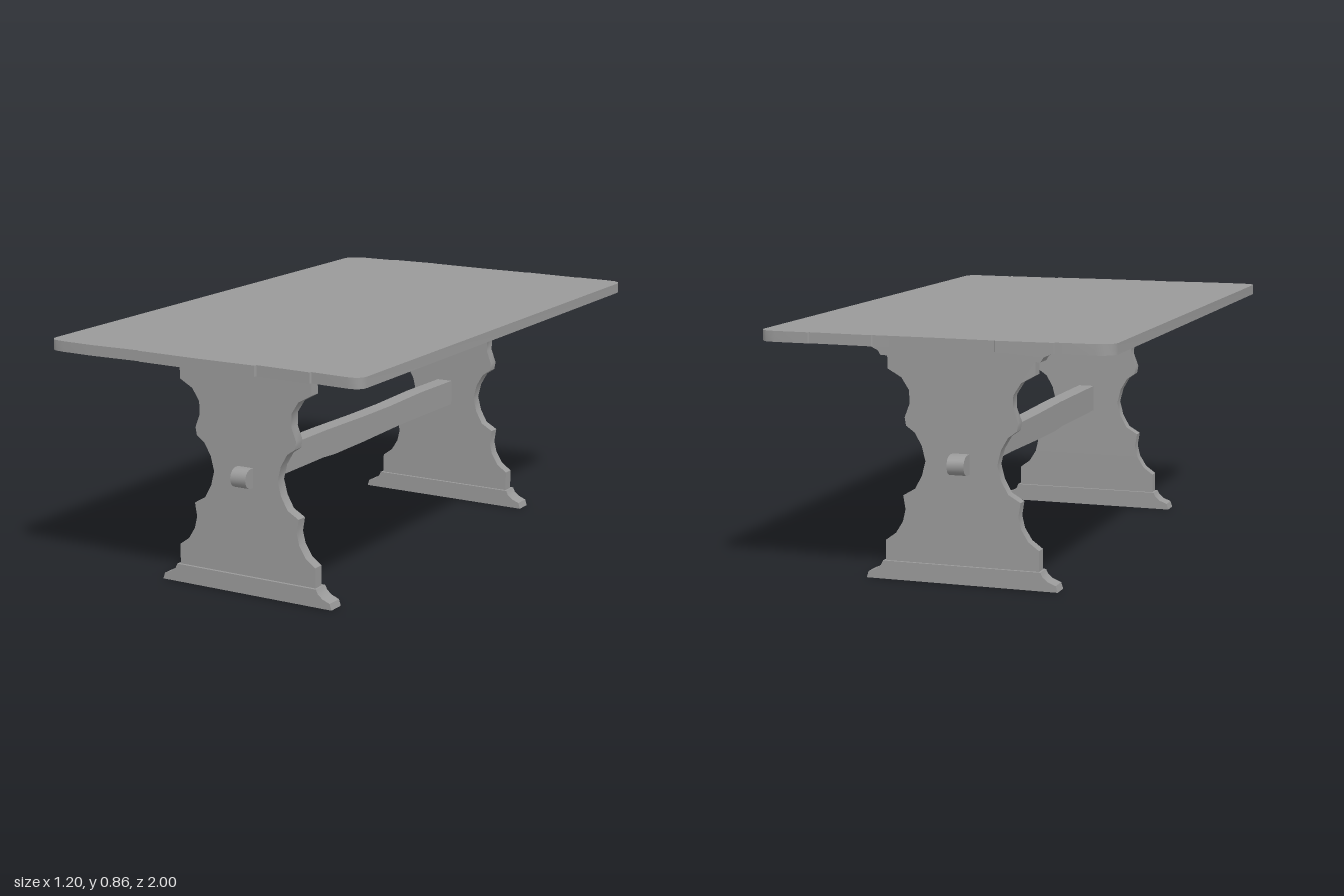
import * as THREE from 'three';
import { toCreasedNormals } from 'three/addons/utils/BufferGeometryUtils.js';

const material = new THREE.MeshStandardMaterial({ color: 0x9a9a9a });

// Extrudes an outline along z, centred on z = 0, smooth along gentle curves
function slab(points, depth) {
  const shape = new THREE.Shape(points.map(([x, y]) => new THREE.Vector2(x, y)));
  const geometry = new THREE.ExtrudeGeometry(shape, { depth, bevelEnabled: false });
  return toCreasedNormals(geometry.translate(0, 0, -depth / 2), 0.7);
}

// Closes a right-hand edge (half width, y) with its mirror image
function mirrored(edge) {
  return [...edge, ...edge.map(([x, y]) => [-x, y]).reverse()];
}

function addMesh(parent, name, geometry) {
  const mesh = new THREE.Mesh(geometry, material);
  mesh.name = name;
  parent.add(mesh);
  return mesh;
}

export function createModel() {
  const table = new THREE.Group();
  table.name = 'trestleTable';

  // Tabletop: rounded corners and small steps between plank ends, listed as (x, z)
  const outline = [
    [-0.6, 0.955], [-0.597, 0.972], [-0.586, 0.986], [-0.57, 0.993], [-0.54, 0.997], [-0.42, 1],
    [-0.235, 0.991], [-0.232, 0.996], [0, 1], [0.215, 0.996], [0.218, 0.986], [0.417, 0.992],
    [0.42, 0.985], [0.55, 0.991], [0.574, 0.988], [0.59, 0.978], [0.598, 0.965], [0.6, 0.95],
    [0.6, -0.94], [0.597, -0.958], [0.588, -0.973], [0.574, -0.984], [0.54, -0.99],
    [0.423, -0.991], [0.42, -0.986], [0.2, -0.995], [0.197, -0.991], [0, -0.99],
    [-0.217, -0.996], [-0.22, -1], [-0.41, -0.992], [-0.413, -0.983], [-0.54, -0.979],
    [-0.568, -0.972], [-0.588, -0.959], [-0.597, -0.945], [-0.6, -0.93],
  ].map(([x, z]) => [x, -z]);
  const top = addMesh(table, 'tabletop', slab(outline, 0.036).rotateX(-Math.PI / 2));
  top.position.y = 0.845;

  // Trestle profiles
  const foot = [[0.34, 0], [0.333, 0.022], [0.305, 0.033], [0.287, 0.048], [0.28, 0.063]];
  const panel = [
    [0.272, 0.06], [0.272, 0.133], [0.235, 0.16], [0.21, 0.2], [0.2, 0.242], [0.208, 0.29],
    [0.165, 0.315], [0.14, 0.36], [0.127, 0.411], [0.14, 0.463], [0.165, 0.506], [0.195, 0.527],
    [0.2, 0.555], [0.182, 0.602], [0.183, 0.647], [0.21, 0.689], [0.26, 0.717], [0.26, 0.764],
  ];
  const cap = [[0.28, 0.762], [0.29, 0.778], [0.318, 0.791], [0.335, 0.803], [0.342, 0.827]];

  // Tenon: straight bar with a half-round end, drawn as (z, y)
  const tenon = [[-0.06, -0.034]];
  for (let i = 0; i <= 10; i++) {
    const a = -Math.PI / 2 + (Math.PI * i) / 10;
    tenon.push([0.034 * Math.cos(a), 0.034 * Math.sin(a)]);
  }
  tenon.push([-0.06, 0.034]);

  for (const side of [1, -1]) {
    const trestle = new THREE.Group();
    const z = side > 0 ? 0.708 : 0.698;
    trestle.name = side > 0 ? 'frontTrestle' : 'backTrestle';
    addMesh(trestle, 'foot', slab(mirrored(foot), 0.06));
    addMesh(trestle, 'panel', slab(mirrored(panel), 0.04));
    addMesh(trestle, 'cap', slab(mirrored(cap), 0.06));
    const peg = addMesh(trestle, 'tenon', slab(tenon, 0.06).rotateY(-Math.PI / 2));
    peg.position.set(0, 0.409, 0.742 - z);
    trestle.position.z = z * side;
    if (side < 0) trestle.rotation.y = Math.PI;
    table.add(trestle);
  }

  // Stretcher: slightly wavy beam between the trestles, drawn as (z, y)
  const beam = [
    [-0.69, 0.377], [-0.3, 0.38], [0, 0.374], [0.2, 0.373], [0.28, 0.378], [0.69, 0.377],
    [0.69, 0.473], [0.26, 0.473], [0, 0.468], [-0.2, 0.467], [-0.43, 0.472], [-0.69, 0.469],
  ];
  addMesh(table, 'stretcher', slab(beam, 0.06).rotateY(-Math.PI / 2));

  return table;
}
